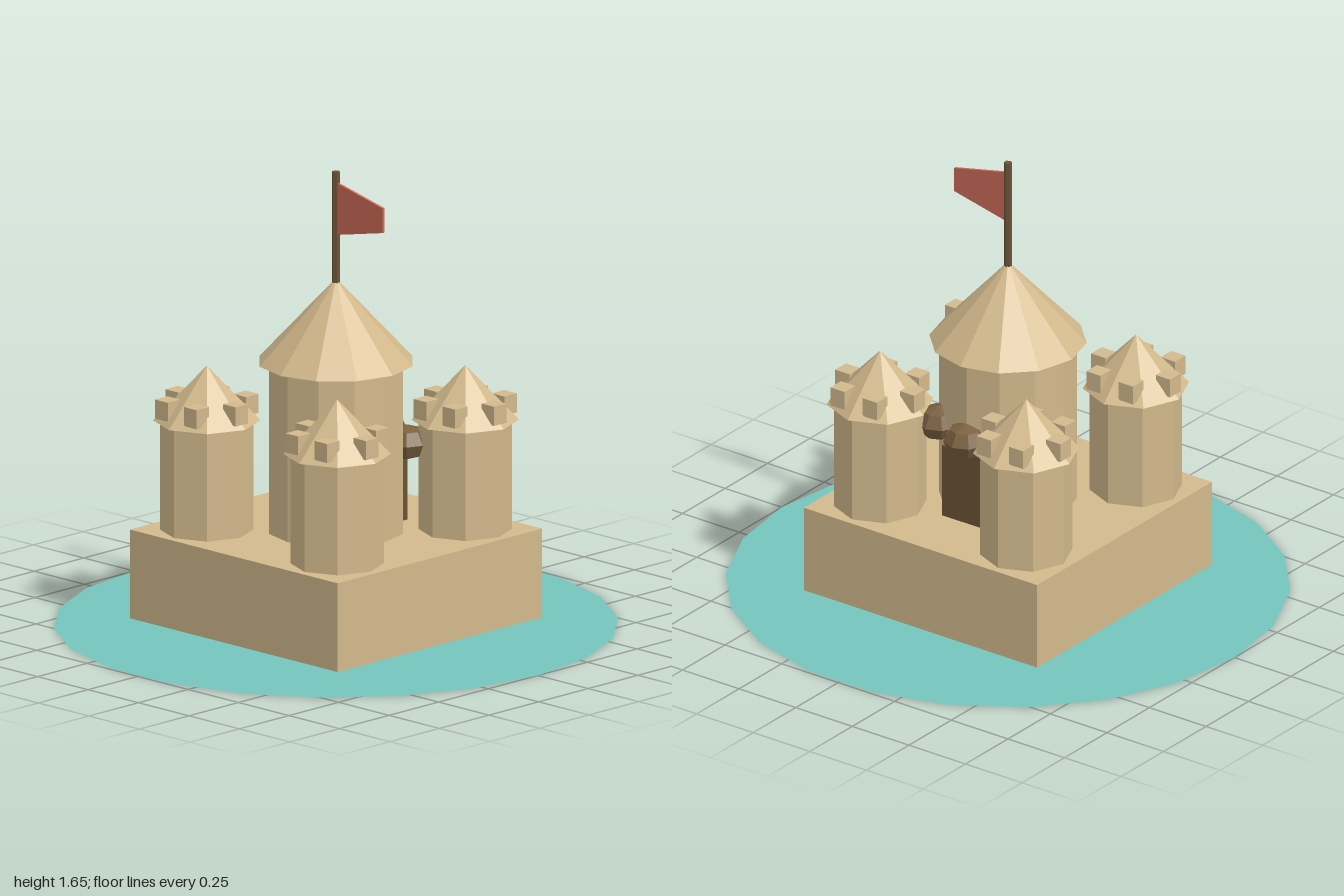
import * as THREE from 'three';

const paint = (color, extra = {}) =>
  new THREE.MeshStandardMaterial({ color, flatShading: true, ...extra });

export function createModel() {
  const model = new THREE.Group();
  model.name = 'castle';
  const sand = paint(0xd2b98c);
  const wood = paint(0x6b5236);
  const stone = paint(0x7a6040);
  const water = paint(0x76c4be, { side: THREE.DoubleSide });
  const red = paint(0xcc6a58, { side: THREE.DoubleSide });

  function add(parent, name, geometry, material, x = 0, y = 0, z = 0) {
    const mesh = new THREE.Mesh(geometry, material);
    mesh.name = name;
    mesh.position.set(x, y, z);
    parent.add(mesh);
    return mesh;
  }

  // Water disc and square base
  add(model, 'water', new THREE.CircleGeometry(1, 22).rotateX(-Math.PI / 2), water);
  add(model, 'base', new THREE.BoxGeometry(1.03, 0.325, 1.03), sand, 0, 0.1825, 0);

  // Central keep with its conical roof
  add(model, 'keep', new THREE.CylinderGeometry(0.245, 0.245, 0.615, 12), sand, 0, 0.6525, 0);
  add(model, 'keepRoof', new THREE.ConeGeometry(0.28, 0.305, 12), sand, 0, 1.1125, 0);

  // Four corner towers, each with a cone and six merlons
  const towerWall = new THREE.CylinderGeometry(0.165, 0.165, 0.4, 8);
  const towerRoof = new THREE.ConeGeometry(0.19, 0.2, 8);
  const merlon = new THREE.BoxGeometry(0.063, 0.07, 0.063);
  for (const x of [-0.323, 0.323]) {
    for (const z of [-0.323, 0.323]) {
      const tower = new THREE.Group();
      tower.name = 'cornerTower';
      tower.position.set(x, 0, z);
      add(tower, 'towerWall', towerWall, sand, 0, 0.545, 0);
      add(tower, 'towerRoof', towerRoof, sand, 0, 0.845, 0);
      for (let i = 0; i < 6; i++) {
        const a = (i * Math.PI) / 3;
        add(tower, 'merlon', merlon, sand, 0.143 * Math.cos(a), 0.796, 0.143 * Math.sin(a));
      }
      model.add(tower);
    }
  }

  // Back gate and the three dark bosses around it
  add(model, 'gate', new THREE.BoxGeometry(0.18, 0.275, 0.08), wood, 0, 0.4825, -0.23);
  const boss = new THREE.SphereGeometry(0.08, 8, 4).scale(1, 0.8, 1);
  for (const a of [-0.72, 0, 0.72]) {
    add(model, 'boss', boss, stone, 0.25 * Math.sin(a), 0.66, -0.25 * Math.cos(a));
  }

  // Flagpole and tapered flag
  add(model, 'flagpole', new THREE.CylinderGeometry(0.015, 0.015, 0.42, 6), wood, 0, 1.445, 0);
  const cloth = new THREE.Shape([
    new THREE.Vector2(0.008, 1.425),
    new THREE.Vector2(0.235, 1.475),
    new THREE.Vector2(0.235, 1.565),
    new THREE.Vector2(0.008, 1.615),
  ]);
  add(model, 'flag', new THREE.ExtrudeGeometry(cloth, { depth: 0.01, bevelEnabled: false }), red, 0, 0, -0.005);

  return model;
}
